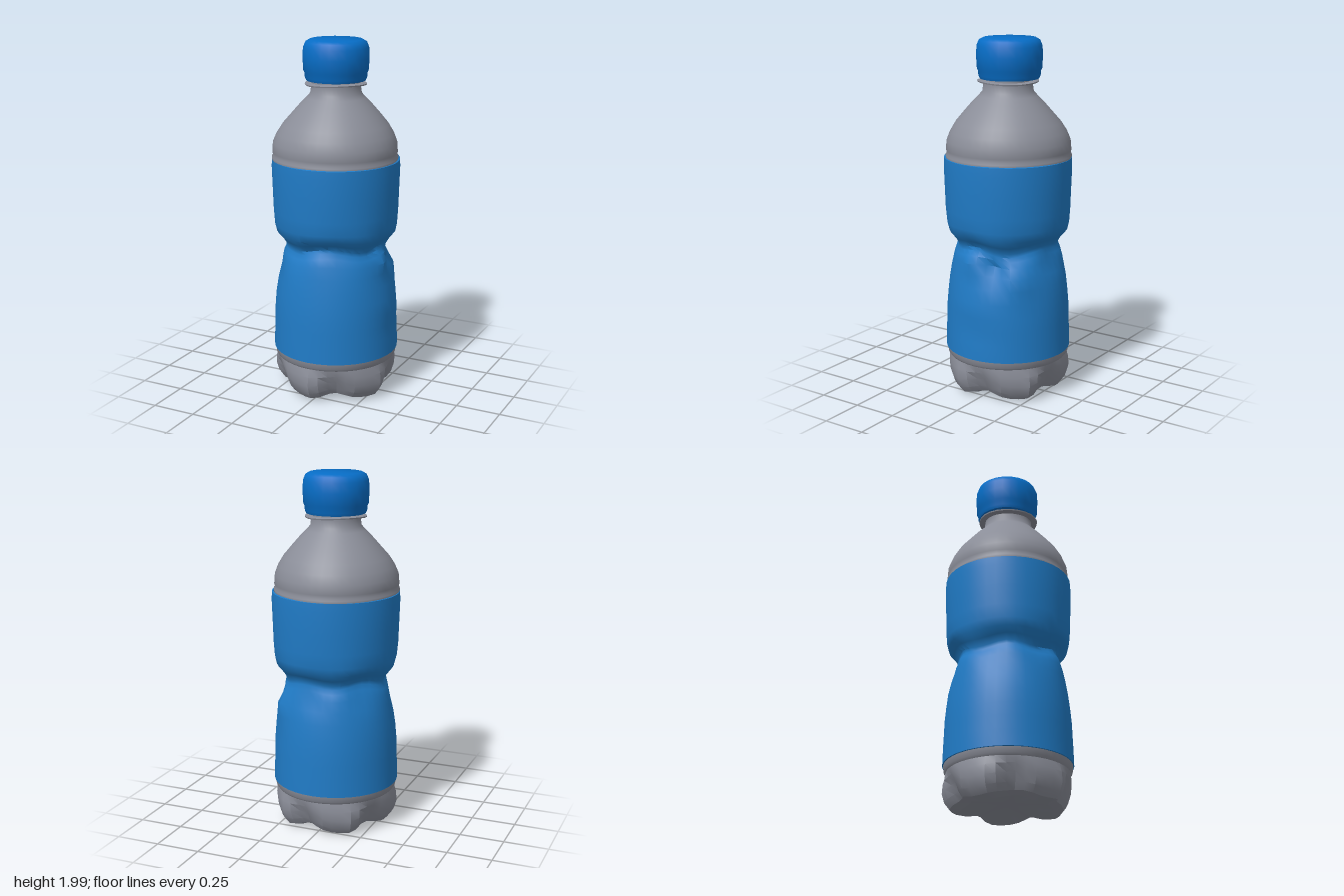
import * as THREE from 'three';
import { toCreasedNormals } from 'three/addons/utils/BufferGeometryUtils.js';

const RAD = Math.PI / 180;

// Lathe a [radius, height] profile, then move each vertex by a rule (angle, radius, y) => [radius, y]
function turned(name, profile, material, { rule, segments = 40, crease = 0.65 } = {}) {
  let g = new THREE.LatheGeometry(profile.map(([r, y]) => new THREE.Vector2(r, y)), segments);
  if (rule) {
    const p = g.attributes.position;
    for (let i = 0; i < p.count; i++) {
      const x = p.getX(i), y = p.getY(i), z = p.getZ(i);
      const a = Math.atan2(x, z);
      const [r, h] = rule(a, Math.hypot(x, z), y);
      p.setXYZ(i, r * Math.sin(a), h, r * Math.cos(a));
    }
  }
  g.deleteAttribute('uv');
  g = toCreasedNormals(g, crease);
  const mesh = new THREE.Mesh(g, material);
  mesh.name = name;
  return mesh;
}

// Smooth bump around an angle (degrees) and height
function bump(a, y, angle, height, width, tall) {
  let d = a - angle * RAD;
  d = Math.atan2(Math.sin(d), Math.cos(d)) / (width * RAD);
  const e = (y - height) / tall;
  return Math.exp(-d * d - e * e);
}

// Crushed waist: a slightly wandering pinch line, with dents and folds around it
function crush(a, r, y) {
  const near = Math.exp(-(((y - 0.86) / 0.1) ** 2));
  const h = y + near * (0.008 * Math.sin(2 * a + 0.6) + 0.012 * Math.sin(5 * a));
  let s = r + near * 0.006 * Math.sin(7 * a + 1);
  // Side fold: a pushed-in pocket under a raised flap
  s -= 0.05 * bump(a, y, 108, 0.77, 13, 0.06);
  s += 0.025 * bump(a, y, 82, 0.8, 12, 0.04);
  s += 0.025 * bump(a, y, 132, 0.72, 14, 0.07);
  s -= 0.02 * bump(a, y, 170, 0.79, 16, 0.05);
  // Smaller dents around the rest
  s -= 0.02 * bump(a, y, 0, 0.89, 12, 0.04);
  s -= 0.015 * bump(a, y, 225, 0.8, 14, 0.07);
  s -= 0.012 * bump(a, y, 300, 0.74, 18, 0.08);
  // Low bulge and hollow on one side
  s += 0.01 * bump(a, y, 90, 0.54, 22, 0.05);
  s -= 0.006 * bump(a, y, 90, 0.43, 22, 0.05);
  return [s, h];
}

// Five feet with angular valleys pressed into the side between them
function feet(a, r, y) {
  const lobe = 0.5 + 0.5 * Math.cos(5 * (a - 135 * RAD));
  const valley = (1 - lobe) ** 1.3;
  const depth = THREE.MathUtils.clamp((0.21 - y) / 0.11, 0, 1);
  const rim = THREE.MathUtils.smoothstep(r, 0.05, 0.22);
  const pleat = 0.009 * Math.sin(10 * a + 1) * depth;
  return [r * (1 - 0.13 * valley * depth) + pleat * rim, y + 0.028 * valley * depth * rim];
}

// Faint unevenness of the thin shoulder wall
function uneven(a, r, y) {
  const fade = THREE.MathUtils.smoothstep(1.62 - y, 0, 0.2);
  return [r + fade * (0.004 * Math.sin(3 * a + 4) - 0.003 * Math.sin(a)), y];
}

export function createModel() {
  const plastic = new THREE.MeshStandardMaterial({ name: 'grey plastic', color: 0x8b8e99, side: THREE.DoubleSide });
  const labelBlue = new THREE.MeshStandardMaterial({ name: 'label blue', color: 0x207bc6, side: THREE.DoubleSide });
  const capBlue = new THREE.MeshStandardMaterial({ name: 'cap blue', color: 0x076dc6 });
  const bottle = new THREE.Group();
  bottle.name = 'bottle';

  // Base
  bottle.add(turned('base', [
    [0, 0.055], [0.08, 0.05], [0.17, 0.025], [0.25, 0.01], [0.305, 0.024], [0.333, 0.06],
    [0.348, 0.11], [0.346, 0.165], [0.334, 0.212],
  ], plastic, { rule: feet, crease: 0.4 }));
  bottle.add(turned('baseRim', [[0.334, 0.212], [0.343, 0.225], [0.347, 0.256]], plastic));

  // Label sleeve with the squeezed waist
  bottle.add(turned('label', [
    [0.346, 0.255], [0.352, 0.257], [0.35, 0.35], [0.347, 0.43], [0.345, 0.5], [0.338, 0.58],
    [0.329, 0.66], [0.318, 0.73], [0.306, 0.79], [0.293, 0.83], [0.279, 0.855], [0.279, 0.875],
    [0.3, 0.908], [0.33, 0.94], [0.342, 0.985], [0.348, 1.06], [0.352, 1.18], [0.356, 1.3],
    [0.354, 1.347], [0.345, 1.35],
  ], labelBlue, { rule: crush }));

  // Shoulder and neck
  bottle.add(turned('shoulder', [
    [0.348, 1.347], [0.349, 1.36], [0.341, 1.372], [0.346, 1.39], [0.342, 1.44], [0.322, 1.49],
    [0.291, 1.54], [0.244, 1.595], [0.196, 1.65], [0.161, 1.685], [0.141, 1.708], [0.135, 1.75], [0.135, 1.79],
  ], plastic, { rule: uneven, crease: 0.9 }));

  // Thin collar below the cap
  bottle.add(turned('neckRing', [
    [0.13, 1.754], [0.168, 1.757], [0.17, 1.764], [0.13, 1.769],
  ], plastic, { rule: (a, r, y) => [r, y + 0.004 * Math.sin(2 * a)], segments: 24 }));

  // Cap with its tamper band
  const cap = turned('cap', [
    [0.12, 1.784], [0.163, 1.778], [0.17, 1.795], [0.172, 1.82], [0.178, 1.832], [0.182, 1.9],
    [0.179, 1.955], [0.167, 1.984], [0.145, 1.997], [0, 2],
  ], capBlue, { segments: 24, crease: 0.8 });
  cap.position.set(-0.003, 0, -0.007);
  bottle.add(cap);

  return bottle;
}
